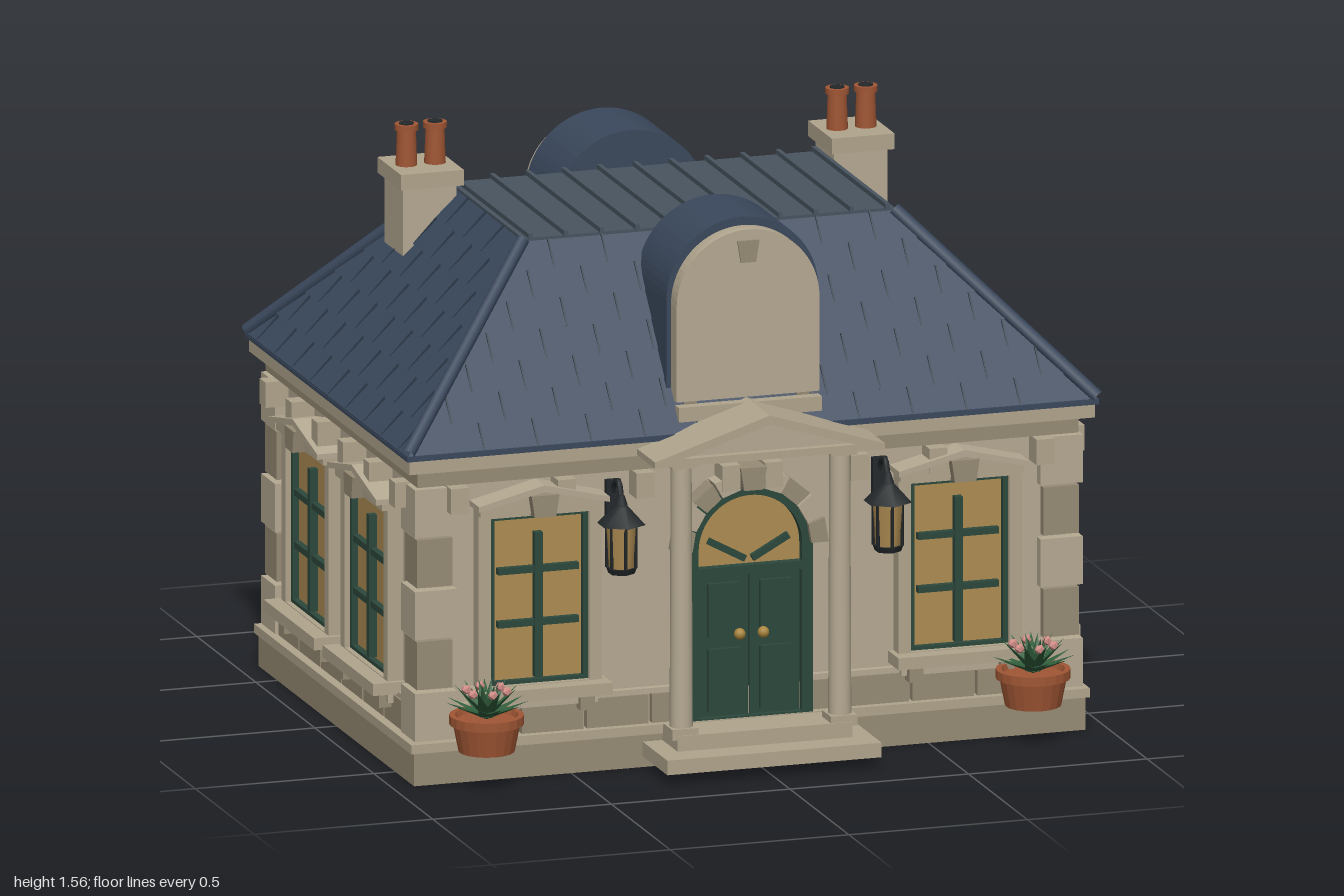
import * as THREE from 'three';

const mat = (color, o = {}) => new THREE.MeshStandardMaterial({ color, ...o });
const M = {
  stone: mat(0xb5a992), trim: mat(0xb0a48c), dark: mat(0x978b75), slate: mat(0x3a485c),
  joint: mat(0x2c3848), deck: mat(0x48545f), glass: mat(0xae8c52), green: mat(0x2c483c),
  iron: mat(0x23282a), clay: mat(0xa05634), brass: mat(0xa8843c), petal: mat(0xd08c86),
  leaf: mat(0x2f5c3a, { side: THREE.DoubleSide, flatShading: true }),
};

function add(parent, name, geo, m, x = 0, y = 0, z = 0) {
  const mesh = new THREE.Mesh(geo, m);
  mesh.name = name;
  mesh.position.set(x, y, z);
  parent.add(mesh);
  return mesh;
}
function sub(parent, name, x = 0, y = 0, z = 0, ry = 0) {
  const g = new THREE.Group();
  g.name = name;
  g.position.set(x, y, z);
  g.rotation.y = ry;
  parent.add(g);
  return g;
}
// Box given by its limits on each axis
const box = (p, name, m, x0, x1, y0, y1, z0, z1) =>
  add(p, name, new THREE.BoxGeometry(x1 - x0, y1 - y0, z1 - z0), m, (x0 + x1) / 2, (y0 + y1) / 2, (z0 + z1) / 2);
const cyl = (p, name, m, r1, r0, h, x, y, z, n = 16) =>
  add(p, name, new THREE.CylinderGeometry(r1, r0, h, n), m, x, y + h / 2, z);

// Box whose top is scaled in x and z
function taper(w, h, d, sx, sz) {
  const g = new THREE.BoxGeometry(w, h, d), a = g.attributes.position;
  for (let i = 0; i < a.count; i++)
    if (a.getY(i) > 0) a.setXYZ(i, a.getX(i) * sx, a.getY(i), a.getZ(i) * sz);
  g.computeVertexNormals();
  return g;
}
const poly = pts => new THREE.Shape(pts.map(p => new THREE.Vector2(...p)));
function arch(r, y0, yc) {
  const s = new THREE.Shape();
  s.moveTo(-r, y0).lineTo(r, y0).lineTo(r, yc);
  return s.absarc(0, yc, r, 0, Math.PI, false).lineTo(-r, y0);
}
function extrude(p, name, m, shape, z0, z1, hole) {
  if (hole) shape.holes.push(hole);
  return add(p, name, new THREE.ExtrudeGeometry(shape, { depth: z1 - z0, bevelEnabled: false, curveSegments: 16 }), m, 0, 0, z0);
}
const rect = (w, y0, y1) => poly([[-w, y0], [w, y0], [w, y1], [-w, y1]]);

// Ring of wedge stones around an arch
function voussoirs(p, r0, r1, yc, z0, z1, n) {
  for (let i = 0; i < n; i++) {
    const a = Math.PI * (i + 0.04) / n, b = Math.PI * (i + 0.96) / n, k = i === (n - 1) / 2 ? 0.015 : 0;
    const at = (r, t) => [r * Math.cos(t), yc + r * Math.sin(t)];
    extrude(p, 'archStone', i % 2 ? M.stone : M.dark, poly([at(r0, a), at(r1 + k, a), at(r1 + k, b), at(r0, b)]), z0, z1 + k);
  }
}

// Wall window: w is the half width of the glass, local z points outward
function wallWindow(wall, x, w, y0, y1) {
  const g = sub(wall, 'window', x);
  box(g, 'pane', M.glass, -w, w, y0, y1, 0, 0.012);
  extrude(g, 'windowFrame', M.green, rect(w + 0.012, y0 - 0.01, y1 + 0.012), 0, 0.03, rect(w - 0.004, y0, y1));
  extrude(g, 'surround', M.trim, rect(w + 0.045, y0 - 0.02, y1 + 0.03), 0, 0.045, rect(w + 0.01, y0 - 0.01, y1 + 0.01));
  box(g, 'mullion', M.green, -0.011, 0.011, y0 + 0.005, y1 - 0.04, 0.01, 0.034);
  for (const t of [0.35, 0.68])
    box(g, 'glazingBar', M.green, -w + 0.015, w - 0.015, y0 + (y1 - y0) * t - 0.009, y0 + (y1 - y0) * t + 0.009, 0.01, 0.03);
  const W = w + 0.045;
  extrude(g, 'lintel', M.trim, poly([[-W, y1 + 0.02], [W, y1 + 0.02], [W, y1 + 0.05], [0, y1 + 0.09], [-W, y1 + 0.05]]), 0, 0.06);
  extrude(g, 'lintelMoulding', M.stone, poly([[-W - 0.01, y1 + 0.04], [0, y1 + 0.082], [W + 0.01, y1 + 0.04],
    [W + 0.01, y1 + 0.055], [0, y1 + 0.1], [-W - 0.01, y1 + 0.055]]), 0, 0.08);
  add(g, 'keystone', taper(0.06, 0.06, 0.09, 1.3, 1), M.dark, 0, y1 + 0.045, 0.045);
  box(g, 'sill', M.trim, -W - 0.015, W + 0.015, y0 - 0.045, y0 - 0.012, 0, 0.09);
  box(g, 'apron', M.stone, -W + 0.01, W - 0.01, y0 - 0.075, y0 - 0.045, 0, 0.04);
  for (const s of [-1, 1]) box(g, 'sillBracket', M.dark, s * w - 0.02, s * w + 0.02, y0 - 0.09, y0 - 0.045, 0, 0.06);
}

// Arched double door: r half width of the opening, yc spring of the arch
function archedDoor(wall, x, r, yc, name) {
  const g = sub(wall, name, x), y0 = 0.11, mid = yc - 0.06;
  extrude(g, 'fanlight', M.glass, arch(r, mid, yc), 0, 0.02);
  extrude(g, 'doorFrame', M.green, arch(r + 0.03, y0, yc), 0, 0.045, arch(r, y0 + 0.01, yc));
  box(g, 'transom', M.green, -r, r, mid - 0.012, mid + 0.012, 0, 0.045);
  for (const s of [-1, 1]) {
    box(g, 'doorLeaf', M.green, s * r / 2 - r / 2 + 0.002, s * r / 2 + r / 2 - 0.002, y0, mid, 0, 0.03);
    for (const [a, b] of [[0.06, 0.48], [0.56, 0.92]])
      box(g, 'doorPanel', M.green, s * r / 2 - r * 0.3, s * r / 2 + r * 0.3, y0 + (mid - y0) * a, y0 + (mid - y0) * b, 0.02, 0.042);
    add(g, 'knob', new THREE.SphereGeometry(0.016, 12, 8), M.brass, s * 0.033, y0 + (mid - y0) * 0.58, 0.055);
    const bar = box(g, 'fanlightBar', M.green, -r * 0.4, r * 0.4, -0.009, 0.009, 0.01, 0.035);
    bar.position.set(s * r * 0.42, mid + 0.055, 0.022);
    bar.rotation.z = s * 0.5;
  }
  voussoirs(g, r + 0.022, r + 0.07, yc, 0, 0.06, 9);
  return g;
}

function dormer(parent, ry) {
  const g = sub(parent, 'dormer', 0, 0, 0, ry), yc = 1.26;
  extrude(g, 'dormerRoof', M.slate, arch(0.213, 0.96, yc), 0.35, 0.597);
  extrude(g, 'dormerFace', M.trim, arch(0.2, 0.95, yc - 0.01), 0.59, 0.625, arch(0.13, 0.985, yc - 0.03));
  extrude(g, 'dormerPane', M.glass, arch(0.135, 0.98, yc - 0.03), 0.59, 0.6);
  extrude(g, 'dormerWindowFrame', M.green, arch(0.138, 0.98, yc - 0.03), 0.59, 0.615, arch(0.122, 0.99, yc - 0.03));
  extrude(g, 'dormerHood', M.stone, arch(0.2, 0.99, yc - 0.01), 0.6, 0.645, arch(0.183, 0.98, yc - 0.01));
  voussoirs(g, 0.132, 0.178, yc - 0.03, 0.6, 0.635, 9);
  for (const s of [-1, 1]) box(g, 'dormerPilaster', M.dark, s * 0.158 - 0.018, s * 0.158 + 0.018, 0.98, 1.22, 0.6, 0.635);
  box(g, 'dormerSill', M.trim, -0.2, 0.2, 0.94, 0.98, 0.56, 0.665);
  box(g, 'dormerMullion', M.green, -0.01, 0.01, 0.985, 1.34, 0.59, 0.618);
  for (const y of [1.12, 1.24]) box(g, 'dormerBar', M.green, -0.12, 0.12, y - 0.008, y + 0.008, 0.59, 0.614);
}

function roof(root) {
  const g = sub(root, 'roof'), X0 = 0.965, X1 = 0.52, Z0 = 0.685, Z1 = 0.31, Y0 = 0.91, H = 0.47, N = 7;
  const L = THREE.MathUtils.lerp;
  // Overlapping slate courses
  for (let i = 0; i < N; i++) {
    const a = i / N, b = (i + 1) / N, x = L(X0, X1, a) + 0.004, z = L(Z0, Z1, a) + 0.004;
    add(g, 'slateCourse', taper(2 * x, H / N, 2 * z, (L(X0, X1, b) - 0.004) / x, (L(Z0, Z1, b) - 0.004) / z), M.slate, 0, Y0 + H * (a + b) / 2, 0);
  }
  // Staggered vertical joints on the four slopes
  const slopes = [[0, X0, X1, Z0, Z1], [Math.PI, X0, X1, Z0, Z1], [Math.PI / 2, Z0, Z1, X0, X1], [-Math.PI / 2, Z0, Z1, X0, X1]];
  for (const [ry, w0, w1, d0, d1] of slopes) {
    const s = sub(g, 'slateJoints', 0, 0, 0, ry);
    for (let i = 0; i < N; i++) {
      const t = (i + 0.5) / N, half = L(w0, w1, t) - 0.04;
      for (let k = -7; k <= 7; k++) {
        const x = (k + (i % 2) / 2) * 0.15;
        if (Math.abs(x) > half) continue;
        const j = add(s, 'joint', new THREE.BoxGeometry(0.005, Math.hypot(H, d0 - d1) / N, 0.006), M.joint, x, Y0 + H * t, L(d0, d1, t));
        j.rotation.x = -Math.atan2(d0 - d1, H);
      }
    }
  }
  // Hip rolls
  for (const sx of [-1, 1]) for (const sz of [-1, 1]) {
    const path = new THREE.LineCurve3(new THREE.Vector3(sx * X0, Y0 + 0.01, sz * Z0), new THREE.Vector3(sx * X1, Y0 + H, sz * Z1));
    add(g, 'hipRoll', new THREE.TubeGeometry(path, 1, 0.018, 8), M.slate);
  }
  // Flat top with standing seams
  box(g, 'roofDeck', M.deck, -X1, X1, 1.37, 1.384, -Z1, Z1);
  for (let i = 0; i < 11; i++) box(g, 'seam', M.deck, -0.506 + i * 0.1, -0.494 + i * 0.1, 1.38, 1.397, -Z1 - 0.005, Z1 + 0.005);
  dormer(g, 0);
  dormer(g, Math.PI);
  for (const s of [-1, 1]) {
    const c = sub(g, 'chimney', s * 0.603, 0, -0.305);
    box(c, 'chimneyStack', M.stone, -0.075, 0.075, 1.1, 1.4, -0.078, 0.078);
    box(c, 'chimneyCap', M.trim, -0.088, 0.088, 1.4, 1.443, -0.1, 0.1);
    for (const x of [-0.04, 0.04]) {
      cyl(c, 'chimneyPot', M.clay, 0.025, 0.029, 0.115, x, 1.44, 0);
      cyl(c, 'chimneyPotRim', M.clay, 0.032, 0.032, 0.016, x, 1.54, 0);
      cyl(c, 'chimneyPotMouth', M.iron, 0.02, 0.02, 0.004, x, 1.555, 0);
    }
  }
}

function lantern(parent, x) {
  const g = sub(parent, 'lantern', x, 0, 0.7);
  cyl(g, 'lanternGlass', M.glass, 0.043, 0.034, 0.12, 0, 0.565, 0, 6);
  cyl(g, 'lanternBase', M.iron, 0.042, 0.036, 0.016, 0, 0.55, 0, 6);
  cyl(g, 'lanternHood', M.iron, 0.018, 0.066, 0.05, 0, 0.685, 0, 6);
  cyl(g, 'lanternFinial', M.iron, 0.008, 0.018, 0.03, 0, 0.735, 0, 8);
  for (let i = 0; i < 6; i++) {
    const a = i * Math.PI / 3;
    cyl(g, 'lanternRib', M.iron, 0.005, 0.005, 0.125, 0.039 * Math.sin(a), 0.565, 0.039 * Math.cos(a), 4);
  }
  const arm = new THREE.CatmullRomCurve3([[0, 0.72, -0.08], [0, 0.78, -0.06], [0, 0.795, -0.02], [0, 0.755, 0]].map(p => new THREE.Vector3(...p)));
  add(g, 'lanternArm', new THREE.TubeGeometry(arm, 12, 0.008, 6), M.iron);
  box(g, 'lanternPlate', M.iron, -0.02, 0.02, 0.69, 0.79, -0.085, -0.065);
}

function planter(parent, x) {
  const g = sub(parent, 'planter', x, 0.105, 0.745);
  const profile = [[0, 0], [0.075, 0], [0.09, 0.075], [0.1, 0.075], [0.1, 0.1], [0.085, 0.1], [0.08, 0.085], [0, 0.085]];
  add(g, 'pot', new THREE.LatheGeometry(profile.map(p => new THREE.Vector2(...p)), 20), mat(0xa05634, { flatShading: true }));
  for (const [n, tilt, len] of [[11, 1.2, 0.12], [9, 0.8, 0.12], [6, 0.35, 0.1]])
    for (let i = 0; i < n; i++) {
      const blade = new THREE.ConeGeometry(0.022, len, 4).scale(1, 1, 0.35).translate(0, len / 2, 0);
      const leaf = add(g, 'leaf', blade, M.leaf, 0, 0.095, 0);
      leaf.rotation.set(tilt, i * 2 * Math.PI / n + tilt, 0, 'YXZ');
    }
  for (let i = 0; i < 6; i++)
    add(g, 'flower', new THREE.IcosahedronGeometry(0.014, 0), M.petal, 0.055 * Math.sin(i * 1.05), 0.165, 0.055 * Math.cos(i * 1.05));
}

export function createModel() {
  const root = new THREE.Group();
  root.name = 'house';
  // Base, walls and cornice
  box(root, 'base', M.dark, -0.94, 0.94, 0, 0.09, -0.66, 0.66);
  box(root, 'baseLip', M.trim, -0.95, 0.95, 0.09, 0.115, -0.667, 0.667);
  box(root, 'walls', M.stone, -0.9, 0.9, 0.11, 0.87, -0.62, 0.62);
  box(root, 'frieze', M.dark, -0.925, 0.925, 0.815, 0.865, -0.645, 0.645);
  box(root, 'cornice', M.trim, -0.96, 0.96, 0.862, 0.9, -0.68, 0.68);
  box(root, 'gutter', M.slate, -0.968, 0.968, 0.9, 0.915, -0.69, 0.69);

  // Quoins
  for (const sx of [-1, 1]) for (const sz of [-1, 1]) for (let i = 0; i < 5; i++) {
    const a = i % 2 ? 0.1 : 0.118, e = i % 2 ? 0.008 : 0, y = 0.115 + i * 0.14;
    add(root, 'quoin', new THREE.BoxGeometry(a, 0.132, a), i % 2 ? M.dark : M.stone, sx * (0.935 - e - a / 2), y + 0.07, sz * (0.652 - e - a / 2));
  }

  // Four facades: plinth blocks and brackets
  const face = (name, ry, d) => sub(root, name, d * Math.sin(ry), 0, d * Math.cos(ry), ry);
  const front = face('frontWall', 0, 0.62), back = face('backWall', Math.PI, 0.62);
  const east = face('leftWall', Math.PI / 2, 0.9), west = face('rightWall', -Math.PI / 2, 0.9);
  for (const [w, half, n, br] of [[front, 0.82, 9, [0.82, 0.52, 0.3, 0.06]], [back, 0.82, 9, [0.82, 0.52, 0.3, 0.06]],
    [east, 0.54, 6, [0.55, 0.33, 0.11]], [west, 0.54, 6, [0.55, 0.33, 0.11]]]) {
    const step = 2 * half / n;
    for (let i = 0; i < n; i++)
      box(w, 'plinthBlock', M.dark, -half + i * step + 0.005, -half + (i + 1) * step - 0.005, 0.115, 0.195, 0, 0.025);
    box(w, 'plinthCap', M.stone, -half, half, 0.195, 0.21, 0, 0.02);
    for (const x of br) for (const s of [-1, 1])
      box(w, 'bracket', M.trim, s * x - 0.025, s * x + 0.025, 0.745, 0.815, 0, 0.065);
  }
  for (const x of [-0.588, 0.588]) wallWindow(front, x, 0.128, 0.265, 0.708);
  for (const x of [-0.52, 0]) wallWindow(back, x, 0.128, 0.265, 0.708);
  for (const w of [east, west]) for (const x of [-0.25, 0.25]) wallWindow(w, x, 0.154, 0.248, 0.685);
  archedDoor(front, 0, 0.145, 0.58, 'frontDoor');
  archedDoor(back, 0.48, 0.095, 0.47, 'backDoor');

  // Steps
  box(root, 'frontStepLower', M.trim, -0.3, 0.3, 0.03, 0.07, 0.6, 0.87);
  box(root, 'frontStepUpper', M.trim, -0.245, 0.245, 0.07, 0.112, 0.6, 0.79);
  box(root, 'backStepLower', M.trim, -0.72, -0.245, 0.03, 0.07, -0.872, -0.6);
  box(root, 'backStepUpper', M.trim, -0.68, -0.285, 0.07, 0.108, -0.785, -0.6);

  // Porch
  const tri = (w, y0, y1, y2) => poly([[-w, y0], [w, y0], [w, y1], [0, y2], [-w, y1]]);
  extrude(root, 'pediment', M.stone, tri(0.315, 0.865, 0.875, 0.975), 0.6, 0.81);
  extrude(root, 'pedimentMoulding', M.trim, tri(0.322, 0.865, 0.882, 0.985), 0.6, 0.832, poly([[-0.24, 0.885], [0.24, 0.885], [0, 0.96]]));
  for (const s of [-1, 1]) {
    cyl(root, 'column', M.stone, 0.028, 0.031, 0.74, s * 0.222, 0.11, 0.75, 20);
    box(root, 'columnBase', M.trim, s * 0.222 - 0.037, s * 0.222 + 0.037, 0.1, 0.13, 0.713, 0.787);
    box(root, 'columnCapital', M.trim, s * 0.222 - 0.037, s * 0.222 + 0.037, 0.845, 0.868, 0.713, 0.787);
    lantern(root, s * 0.373);
    planter(root, s * 0.765);
    // Downpipes at the back corners
    cyl(root, 'downpipe', M.green, 0.014, 0.014, 0.76, s * 0.89, 0.14, -0.67, 10);
    const shoe = cyl(root, 'downpipeShoe', M.green, 0.015, 0.015, 0.05, s * 0.89, 0.11, -0.682, 10);
    shoe.rotation.x = 0.8;
    for (const y of [0.3, 0.65]) cyl(root, 'pipeClip', M.iron, 0.02, 0.02, 0.015, s * 0.89, y, -0.668, 10);
  }
  roof(root);
  return root;
}
